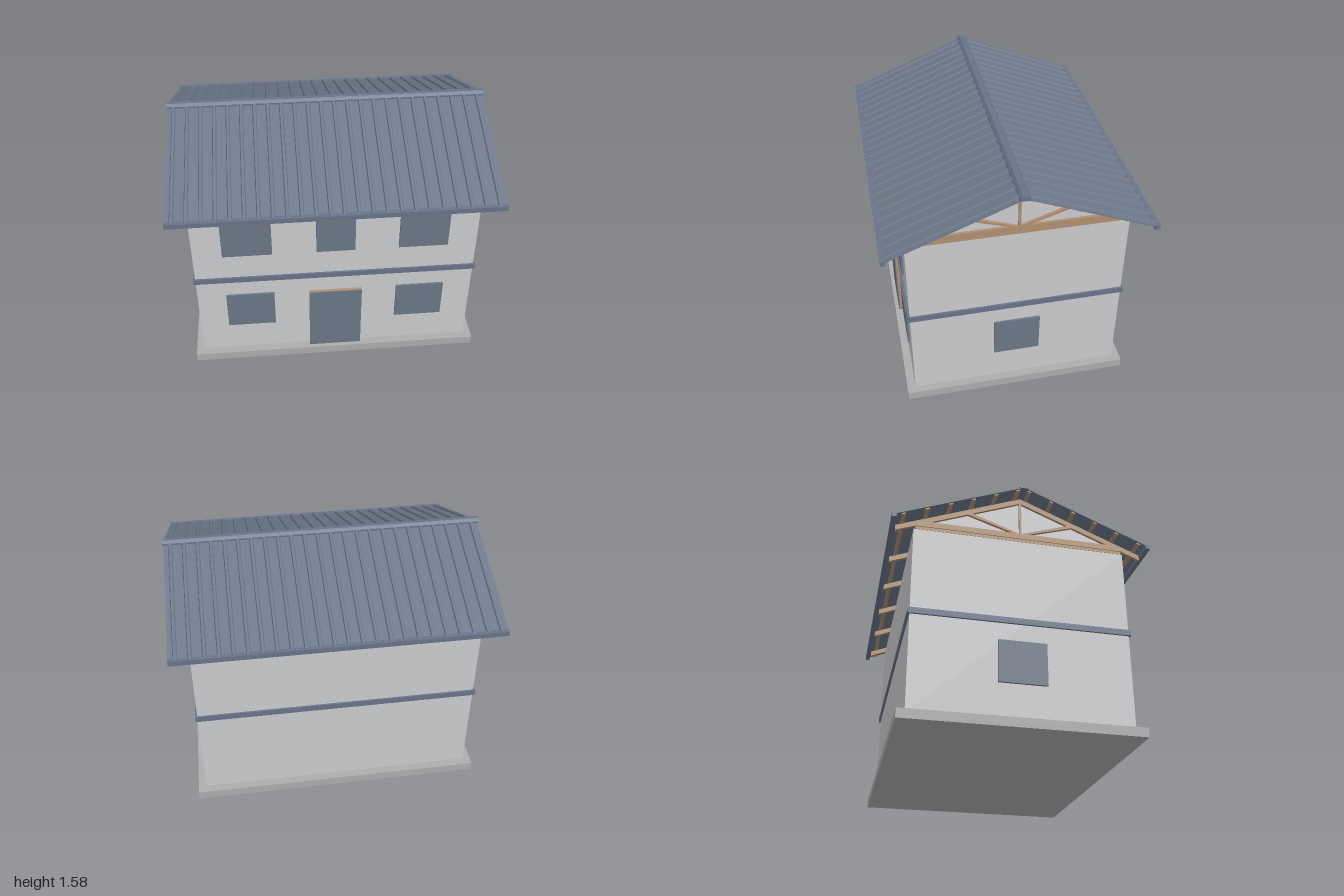
import * as THREE from 'three';

const mat = (name, color) => {
  const m = new THREE.MeshStandardMaterial({ color });
  m.name = name;
  return m;
};

export function createModel() {
  const wall = mat('plaster', 0xcbccce);
  const concrete = mat('concrete', 0xadadad);
  const metal = mat('roof metal', 0x6c778a);
  const trim = mat('blue trim', 0x69748a);
  const glass = mat('window blue', 0x6b7786);
  const wood = mat('timber', 0xb09070);
  const house = new THREE.Group();
  house.name = 'house';

  const add = (name, geo, m, parent = house) => {
    const mesh = new THREE.Mesh(geo, m);
    mesh.name = name;
    parent.add(mesh);
    return mesh;
  };
  // Box from min/max pairs on each axis
  const box = (name, [x0, x1], [y0, y1], [z0, z1], m, parent) => {
    const mesh = add(name, new THREE.BoxGeometry(x1 - x0, y1 - y0, z1 - z0), m, parent);
    mesh.position.set((x0 + x1) / 2, (y0 + y1) / 2, (z0 + z1) / 2);
    return mesh;
  };
  // Outline in (z, y) extruded along x, centred on x = 0
  const slice = (pts, depth) => {
    const shape = new THREE.Shape(pts.map(p => new THREE.Vector2(...p)));
    return new THREE.ExtrudeGeometry(shape, { depth, bevelEnabled: false })
      .rotateY(-Math.PI / 2).translate(depth / 2, 0, 0);
  };

  // Base slab, walls and the band between floors
  box('slab', [-0.93, 0.93], [0, 0.058], [-0.713, 0.713], concrete);
  box('walls', [-0.88, 0.88], [0.058, 1.232], [-0.66, 0.66], wall);
  box('floorBand', [-0.892, 0.892], [0.655, 0.692], [-0.672, 0.672], trim);

  // Front windows and door
  for (const [y0, y1] of [[0.277, 0.542], [0.873, 1.138]])
    for (const s of [-1, 1])
      box('frontWindow', [s * 0.545 - 0.153, s * 0.545 + 0.153], [y0, y1], [0.655, 0.673], glass);
  box('middleWindow', [-0.12, 0.12], [0.873, 1.138], [0.655, 0.673], glass);
  box('doorFrame', [-0.168, 0.168], [0.058, 0.538], [0.655, 0.68], wood);
  box('doorPanel', [-0.17, 0.168], [0.058, 0.538], [0.68, 0.687], glass);

  // Side windows
  for (const s of [-1, 1])
    box('sideWindow', [s * 0.884 - 0.009, s * 0.884 + 0.009], [0.277, 0.542], [-0.145, 0.145], glass);

  // Timber plates on top of the walls
  for (const s of [-1, 1]) {
    box('wallPlate', [-0.875, 0.875], [1.232, 1.252], [s * 0.63 - 0.02, s * 0.63 + 0.02], wood);
    box('endPlate', [s * 0.872 - 0.01, s * 0.872 + 0.01], [1.232, 1.252], [-0.65, 0.65], wood);
  }

  // Roof trusses
  const slope = 0.405;
  const under = z => 1.515 - slope * Math.abs(z);
  const over = z => 1.55 - slope * Math.abs(z);
  const trussParts = [
    ['rafters', [[-0.77, under(0.77)], [0, under(0)], [0.77, under(0.77)],
      [0.77, over(0.77)], [0, over(0)], [-0.77, over(0.77)]]],
    ['bottomChord', [[-0.65, 1.252], [0.65, 1.252], [0.6, 1.29], [-0.6, 1.29]]],
    ['kingPost', [[-0.007, 1.29], [0.007, 1.29], [0.007, 1.52], [-0.007, 1.52]]],
    ['leftStrut', [[0.005, 1.288], [0.045, 1.288], [0.335, 1.382], [0.305, 1.394]]],
    ['rightStrut', [[-0.005, 1.288], [-0.305, 1.394], [-0.335, 1.382], [-0.045, 1.288]]],
  ].map(([name, pts]) => [name, slice(pts, 0.02)]);
  for (let i = 0; i < 6; i++) {
    const truss = new THREE.Group();
    truss.name = 'truss';
    truss.position.x = -0.877 + i * 0.3508;
    for (const [name, geo] of trussParts) add(name, geo, wood, truss);
    house.add(truss);
  }

  // Gable infill behind the end trusses
  const gable = slice([[-0.65, 1.252], [0.65, 1.252], [0, 1.53]], 0.006);
  for (const s of [-1, 1]) add('gablePanel', gable, wall).position.x = s * 0.868;

  // Ribbed sheet profile, extruded down the slope
  const angle = Math.atan(slope), length = 0.785 / Math.cos(angle);
  const ribs = 24, pitch = 1.99 / ribs;
  const sheet = new THREE.Shape();
  sheet.moveTo(-0.995, 0);
  sheet.lineTo(0.995, 0);
  sheet.lineTo(0.995, 0.005);
  for (let i = ribs - 1; i >= 0; i--) {
    const c = -0.995 + (i + 0.5) * pitch;
    for (const [dx, y] of [[0.013, 0.005], [0.008, 0.015], [-0.008, 0.015], [-0.013, 0.005]])
      sheet.lineTo(c + dx, y);
  }
  sheet.lineTo(-0.995, 0.005);
  const sheetGeo = new THREE.ExtrudeGeometry(sheet, { depth: length, bevelEnabled: false });

  // Two roof sides, each with sheet, purlins and gutter
  for (const turn of [0, Math.PI]) {
    const side = new THREE.Group();
    side.name = turn ? 'backRoof' : 'frontRoof';
    side.rotation.y = turn;
    const pitchGroup = new THREE.Group();
    pitchGroup.name = 'roofSlope';
    pitchGroup.position.y = 1.558;
    pitchGroup.rotation.x = angle;
    add('roofSheet', sheetGeo, metal, pitchGroup);
    for (let i = 0; i < 6; i++) {
      const z = 0.04 + i * 0.15;
      box('purlin', [-0.985, 0.985], [-0.009, 0], [z - 0.012, z + 0.012], wood, pitchGroup);
    }
    side.add(pitchGroup);
    box('gutter', [-0.995, 0.995], [1.222, 1.253], [0.773, 0.802], trim, side);
    house.add(side);
  }

  // Ridge cap
  add('ridgeCap', slice([[-0.031, 1.55], [0.031, 1.55], [0.031, 1.562], [0.014, 1.577],
    [-0.014, 1.577], [-0.031, 1.562]], 2), trim);

  return house;
}
